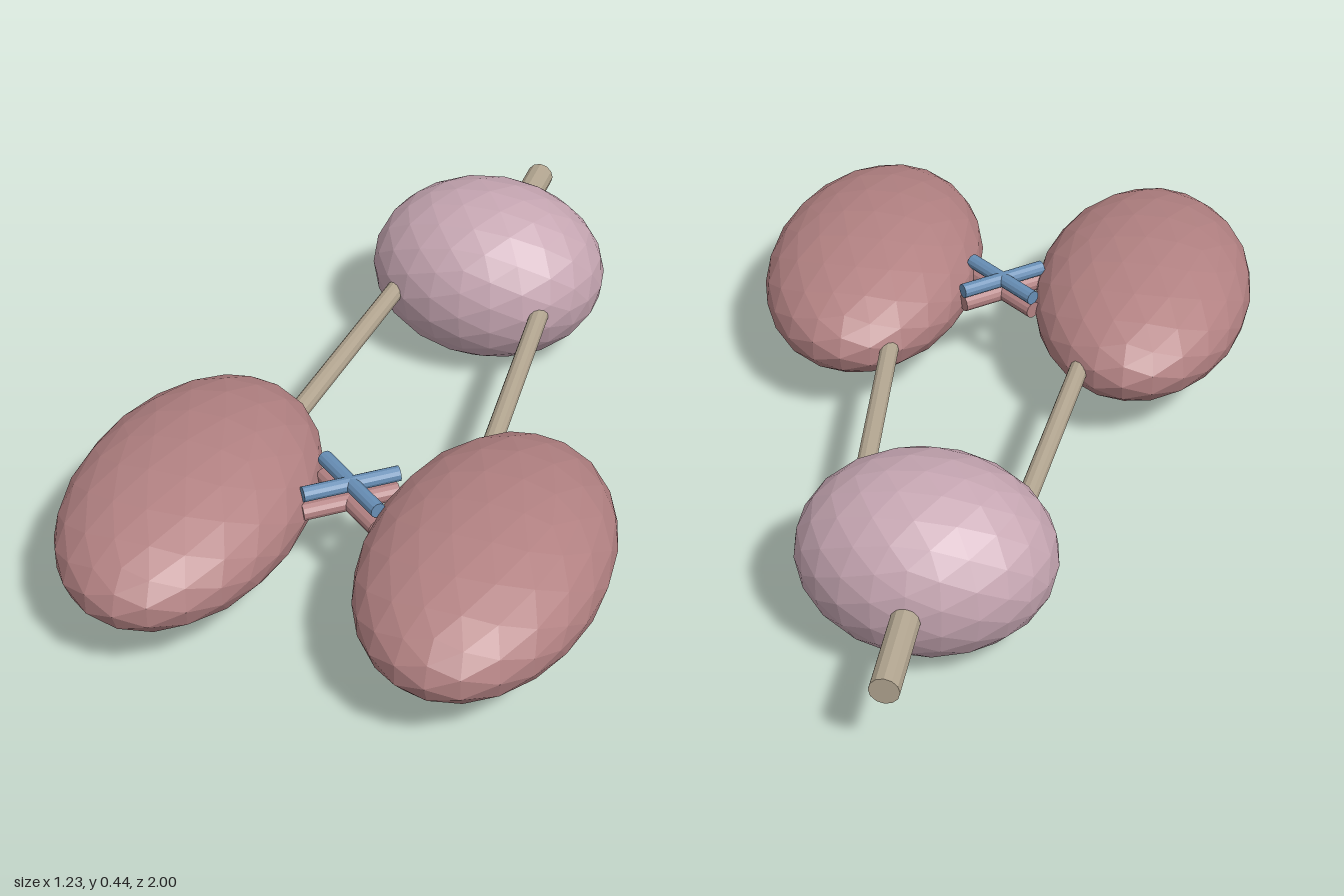
import * as THREE from 'three';

const material = (name, color) => {
  const m = new THREE.MeshStandardMaterial({ color, flatShading: true });
  m.name = name;
  return m;
};

export function createModel() {
  const group = new THREE.Group();
  const rose = material('dusty rose', 0xb28182);
  const mauve = material('pale mauve', 0xc6a6b2);
  const tan = material('tan', 0xb2a590);
  const blue = material('steel blue', 0x678eb5);

  // Faceted ellipsoid
  const pod = (name, mat, radii, center) => {
    const mesh = new THREE.Mesh(new THREE.IcosahedronGeometry(1, 3).scale(...radii), mat);
    mesh.position.set(...center);
    mesh.name = name;
    group.add(mesh);
  };

  // Straight rod between two points
  const rod = (name, mat, radius, from, to) => {
    const a = new THREE.Vector3(...from);
    const b = new THREE.Vector3(...to);
    const dir = b.clone().sub(a);
    const mesh = new THREE.Mesh(new THREE.CylinderGeometry(radius, radius, dir.length(), 12), mat);
    mesh.position.copy(a).add(b).multiplyScalar(0.5);
    mesh.quaternion.setFromUnitVectors(new THREE.Vector3(0, 1, 0), dir.normalize());
    mesh.name = name;
    group.add(mesh);
  };

  // Rear body and its stem
  pod('rearBody', mauve, [0.295, 0.22, 0.248], [0, 0.222, -0.538]);
  rod('rearStem', tan, 0.034, [0, 0.224, -1], [0, 0.224, -0.65]);

  for (const s of [1, -1]) {
    const side = s > 0 ? 'left' : 'right';
    // Front lobes and the struts reaching back to the rear body
    pod(side + 'Lobe', rose, [0.27, 0.16, 0.427], [s * 0.345, 0.222, 0.57]);
    rod(side + 'Strut', tan, 0.023, [s * 0.175, 0.224, -0.48], [s * 0.242, 0.224, 0.3]);
    // Two stacked crosses between the lobes
    rod(side + 'UpperCrossBar', blue, 0.018, [s * -0.088, 0.277, 0.406], [s * 0.088, 0.277, 0.546]);
    rod(side + 'LowerCrossBar', rose, 0.021, [s * -0.088, 0.235, 0.415], [s * 0.088, 0.235, 0.555]);
  }
  return group;
}
